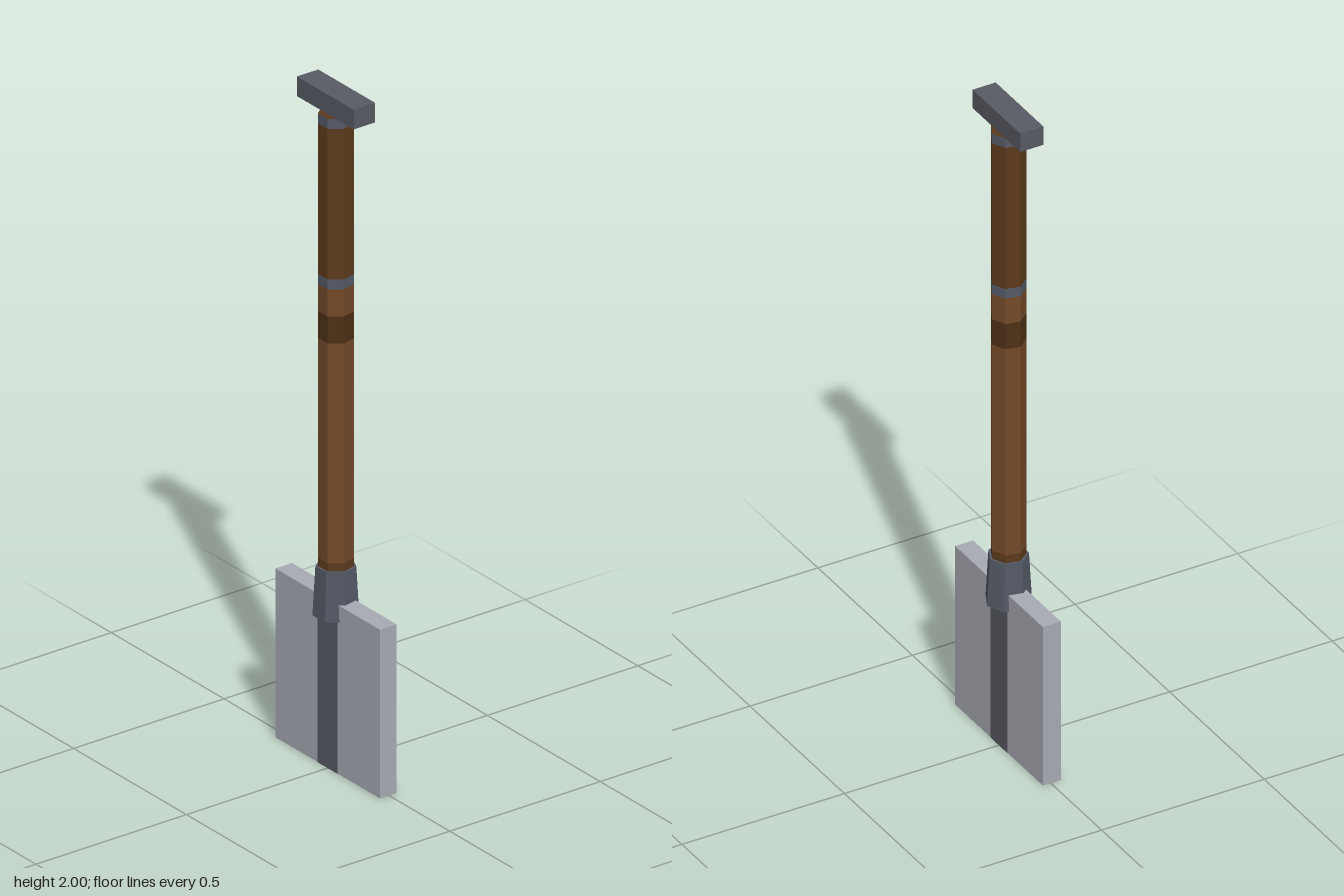
import * as THREE from 'three';

const mat = (name, color) => {
  const m = new THREE.MeshStandardMaterial({ color });
  m.name = name;
  return m;
};

export function createModel() {
  const group = new THREE.Group();
  const bladeSteel = mat('pale steel', 0xa7aab3);
  const darkSteel = mat('dark steel', 0x585a64);
  const blueSteel = mat('blue steel', 0x535965);
  const wood = mat('wood', 0x734a29);
  const gripWood = mat('dark wood', 0x5c3a1c);
  const bandWood = mat('stained wood', 0x4c3015);
  const zc = 0.003; // shared axis of all parts

  const add = (name, geometry, material, y) => {
    const mesh = new THREE.Mesh(geometry, material);
    mesh.name = name;
    mesh.position.set(0, y, zc);
    group.add(mesh);
    return mesh;
  };

  const box = (name, w, d, y0, y1, material) =>
    add(name, new THREE.BoxGeometry(w, y1 - y0, d), material, (y0 + y1) / 2);

  // Seven-sided section with a flat face to the front and a ridge at the back
  const prism = (name, rTop, rBottom, y0, y1, side, cap = side) => {
    const g = new THREE.CylinderGeometry(rTop, rBottom, y1 - y0, 7).toNonIndexed();
    g.rotateY(Math.PI);
    g.computeVertexNormals();
    return add(name, g, [side, cap, cap], (y0 + y1) / 2);
  };

  // Blade with a dark spine showing on both faces and the lower edge
  box('blade', 0.464, 0.055, 0.0005, 0.5, bladeSteel);
  box('bladeSpine', 0.088, 0.056, 0, 0.46, darkSteel);

  // Flared socket
  prism('socket', 0.056, 0.064, 0.45, 0.595, blueSteel);

  // Shaft sections, bottom to top
  const r = 0.049;
  [
    ['lowerBand', 0.59, 0.62, gripWood],
    ['shaft', 0.62, 1.27, wood],
    ['stainedBand', 1.27, 1.35, bandWood],
    ['upperShaft', 1.35, 1.43, wood],
    ['middleRing', 1.43, 1.46, blueSteel],
    ['grip', 1.46, 1.905, gripWood],
    ['topRing', 1.905, 1.935, blueSteel],
  ].forEach(([name, y0, y1, m]) => prism(name, r, r, y0, y1, m, gripWood));

  // Crossbar handle
  box('crossbar', 0.252, 0.071, 1.942, 2, darkSteel);

  return group;
}
